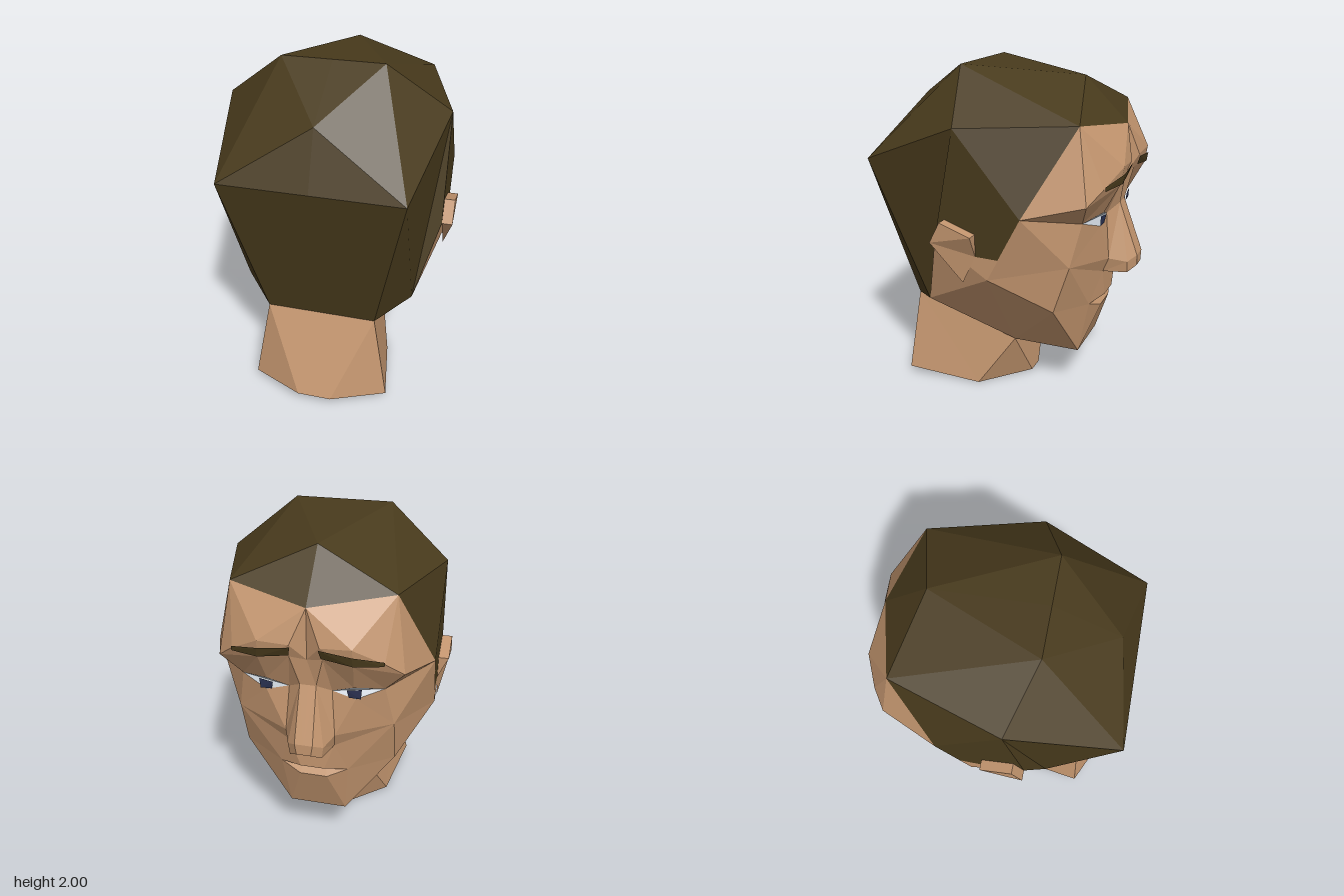
import * as THREE from 'three';

const SKIN = 0xc4966f, HAIR = 0x483a1c;

// Corner points of the +x half; the other half is mirrored.
const hairPoints = {
  crown: [.285, 2, .245], rear: [0, 1.78, .63], back: [.505, 1.46, .755], nape: [.32, .56, .565],
  side: [.635, 1.72, .12], top: [0, 1.94, -.39], hairline: [.445, 1.75, -.515], peak: [0, 1.69, -.645],
  temple: [.635, 1.27, -.265], burn: [.635, 1.02, -.135], earFront: [.635, 1.02, 0],
  earBack: [.635, 1.085, .25], nick: [.505, .635, .38],
};
const jawPoints = {
  cheekSide: [.635, .89, -.07], jaw: [.25, .325, -.065], jowl: [.45, .67, -.39],
  chin: [.17, .29, -.45], cheek: [.45, .96, -.48],
};
const browPoints = {
  glabella: [0, 1.4, -.648], browIn: [.08, 1.5, -.7], brow: [.25, 1.51, -.705], browOut: [.41, 1.42, -.645],
  browEnd: [.508, 1.34, -.585], underIn: [.09, 1.42, -.67], under: [.255, 1.41, -.69],
};
const eyePoints = {
  eyeIn: [.12, 1.19, -.58], lidTop: [.24, 1.235, -.6], eyeOut: [.4, 1.21, -.53], lidLow: [.25, 1.155, -.585],
};
const nosePoints = {
  bridge: [.045, 1.24, -.635], tip: [.05, .93, -.753], tipLow: [.04, .865, -.753], ball: [.1, .9, -.71],
  ballLow: [.09, .83, -.71], wing: [.14, .92, -.61], wingLow: [.13, .83, -.575], septum: [0, .83, -.575],
};
const mouthPoints = {
  lip: [.07, .655, -.575], mouthEnd: [.2, .635, -.52], inside: [.07, .625, -.53], lowLip: [.08, .585, -.555],
};
const neckPoints = {
  baseBack: [.1, .065, .755], baseSide: [.41, .05, .61], baseFront: [.335, 0, .155], baseThroat: [.055, 0, -.1],
};
const earPoints = {
  earTop: [.695, 1.21, .185], earRim: [.695, 1.085, .25], earLip: [.695, 1.15, 0], earLobe: [.635, .85, .08],
  earTopIn: [.62, 1.21, .185], earLipIn: [.62, 1.15, 0],
};
const P = {
  ...hairPoints, ...jawPoints, ...browPoints, ...eyePoints, ...nosePoints, ...mouthPoints, ...neckPoints, ...earPoints,
};

// A name ending in 0 is the point moved onto the centre plane.
function point(name) {
  if (P[name]) return new THREE.Vector3(...P[name]);
  const v = new THREE.Vector3(...P[name.slice(0, -1)]);
  v.x = 0;
  return v;
}

// Builds mirrored flat polygons, each turned to face away from the centre.
function part(name, color, polygons, centre = [0, 1.1, 0], offset = 0) {
  const pos = [];
  const tri = new THREE.Triangle(), n = new THREE.Vector3(), m = new THREE.Vector3();
  for (const side of [1, -1]) {
    const c = new THREE.Vector3(centre[0] * side, centre[1], centre[2]);
    for (const poly of polygons) {
      const pts = (typeof poly === 'string' ? poly.split(' ').map(point) : poly.map(p => new THREE.Vector3(...p)));
      pts.forEach(p => { p.x *= side; p.z -= offset; });
      for (let i = 1; i < pts.length - 1; i++) {
        tri.set(pts[0], pts[i], pts[i + 1]);
        tri.getNormal(n);
        tri.getMidpoint(m).sub(c);
        const order = n.dot(m) > 0 ? [0, i, i + 1] : [0, i + 1, i];
        for (const k of order) pos.push(...pts[k].toArray());
      }
    }
  }
  const g = new THREE.BufferGeometry();
  g.setAttribute('position', new THREE.Float32BufferAttribute(pos, 3));
  g.computeVertexNormals();
  const mesh = new THREE.Mesh(g, new THREE.MeshStandardMaterial({ color, flatShading: true }));
  mesh.name = name;
  return mesh;
}

export function createModel() {
  const head = new THREE.Group();
  head.name = 'head';

  head.add(part('hair', HAIR, [
    'top crown crown0', 'crown crown0 rear', 'crown back rear', 'rear back back0', 'back nape nape0 back0',
    'crown side back', 'crown hairline side', 'top hairline crown', 'top hairline peak',
    'side hairline temple', 'side temple burn', 'side burn earFront', 'side earFront earBack',
    'side earBack nick', 'side nick back', 'back nick nape',
  ]));

  head.add(part('forehead', SKIN, [
    'peak hairline brow', 'peak brow browIn', 'peak browIn glabella', 'hairline browOut brow',
    'hairline browEnd browOut', 'hairline temple browEnd',
    'browIn brow under underIn', 'brow browOut under', 'glabella browIn underIn',
  ]));

  head.add(part('eyeSockets', SKIN, [
    'glabella underIn bridge', 'glabella bridge bridge0', 'underIn bridge eyeIn', 'underIn eyeIn lidTop',
    'underIn lidTop under', 'under lidTop eyeOut', 'under eyeOut browEnd', 'browEnd browOut under',
    'browEnd eyeOut temple',
  ]));

  head.add(part('cheeksAndJaw', SKIN, [
    'cheekSide temple burn', 'cheekSide burn earFront', 'cheekSide earFront earBack', 'cheekSide earBack nick',
    'cheekSide nick jaw', 'cheekSide jaw jowl', 'cheekSide jowl cheek', 'cheekSide cheek temple',
    'temple eyeOut cheek', 'nick nape jaw', 'jaw jowl chin', 'chin jaw jaw0 chin0',
    'eyeIn lidLow wing', 'lidLow eyeOut cheek', 'lidLow cheek wing', 'wing wingLow cheek',
    'wingLow mouthEnd cheek', 'mouthEnd jowl cheek',
  ]));

  head.add(part('nose', SKIN, [
    'bridge bridge0 tip0 tip', 'bridge tip ball', 'bridge ball wing', 'bridge wing eyeIn',
    'tip tip0 tipLow0 tipLow', 'tip tipLow ballLow ball', 'ball ballLow wingLow wing',
    'tipLow tipLow0 septum', 'tipLow septum wingLow ballLow',
  ]));
  head.add(part('nostrils', HAIR, [
    [[.035, .828, -.69], [.08, .822, -.69], [.1, .822, -.61], [.03, .822, -.61]],
  ]));

  head.add(part('mouthSurround', SKIN, [
    'wingLow septum lip0 lip', 'wingLow lip mouthEnd', 'mouthEnd lowLip chin', 'mouthEnd chin jowl',
    'lowLip lowLip0 chin0 chin', 'lowLip lowLip0 inside0 inside', 'lowLip inside mouthEnd',
  ]));
  head.add(part('upperLip', 0x5a1c0c, ['lip lip0 inside0 inside', 'lip inside mouthEnd']));

  // Eyes and eyebrows
  head.add(part('eyeWhites', 0xc4ccd4, ['eyeIn lidTop eyeOut lidLow']));
  head.add(part('irises', 0x2c3354, [
    [[.205, 1.215, -.6], [.285, 1.225, -.592], [.28, 1.165, -.59], [.215, 1.168, -.592]],
  ], [0, 1.1, 0], .005));
  head.add(part('eyebrows', HAIR, [
    [[.075, 1.49, -.7], [.25, 1.47, -.704], [.255, 1.415, -.695], [.085, 1.435, -.682]],
    [[.25, 1.47, -.704], [.41, 1.435, -.648], [.41, 1.41, -.648], [.255, 1.415, -.695]],
  ], [0, 1.1, 0], .006));

  head.add(part('ears', SKIN, [
    'earTop earRim earLip', 'earRim earLobe earFront earLip', 'earTop earLip earLipIn earTopIn',
    'earTop earRim earBack earTopIn', 'earRim earBack earLobe', 'earLip earLipIn earFront',
  ], [.6, 1.08, .1]));

  head.add(part('neck', SKIN, [
    'nape nape0 baseBack0 baseBack', 'nape baseBack baseSide', 'nape baseSide baseFront jaw',
    'jaw baseFront baseThroat', 'jaw jaw0 baseThroat0 baseThroat',
    'baseBack0 baseBack baseSide baseFront baseThroat baseThroat0',
  ], [0, .3, .3]));

  return head;
}
